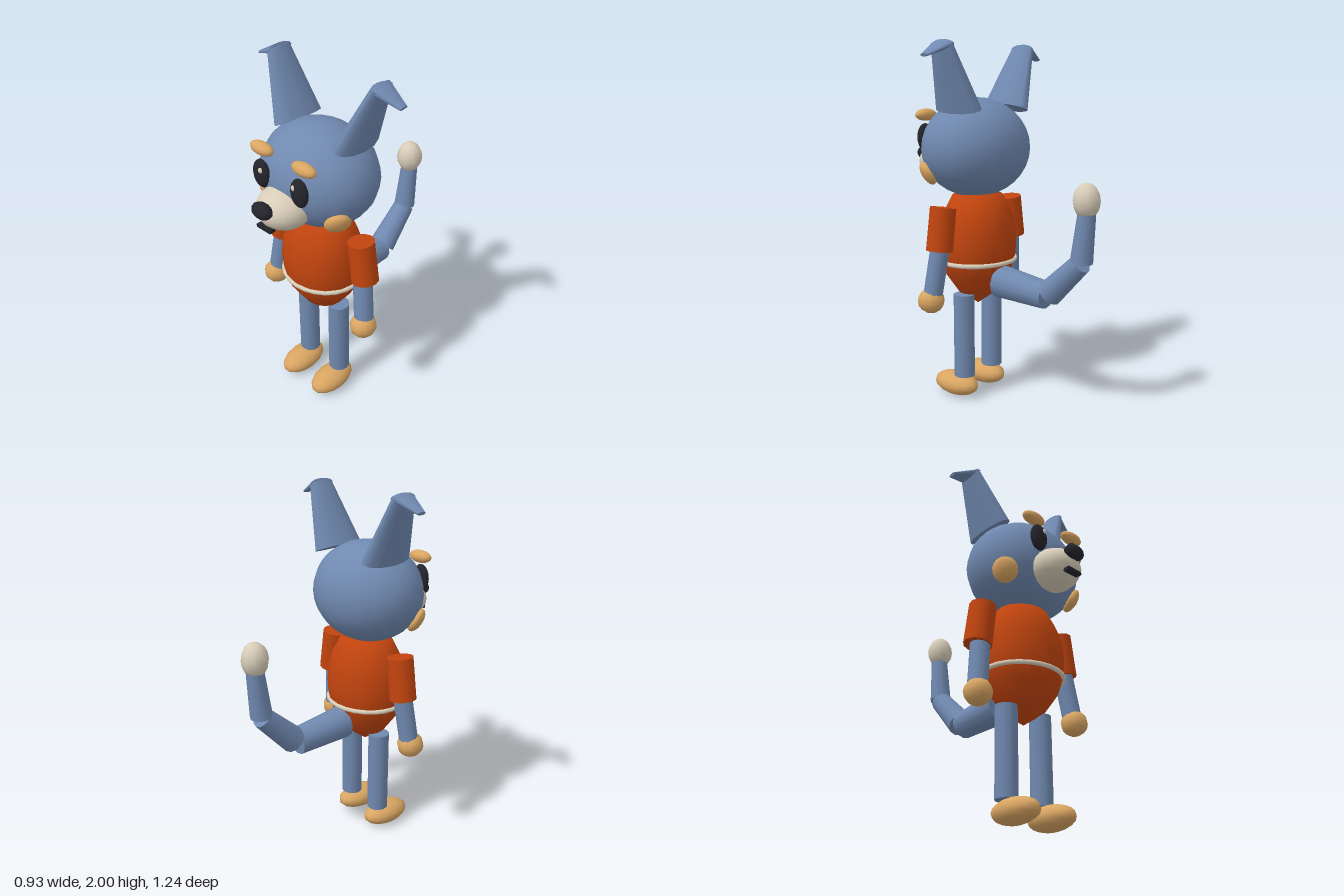
import * as THREE from 'three';

const paint = (name, color) => {
  const m = new THREE.MeshStandardMaterial({ color });
  m.name = name;
  return m;
};

export function createModel() {
  const fur = paint('blue fur', 0x7089b0);
  const shirt = paint('orange shirt', 0xc1440e);
  const tan = paint('tan fur', 0xd9a562);
  const cream = paint('cream', 0xd8cdb8);
  const black = paint('black', 0x24242c);

  const model = new THREE.Group();
  const V = (x, y, z) => new THREE.Vector3(x, y, z);
  const up = V(0, 1, 0);

  const add = (name, geometry, material, parent = model) => {
    const mesh = new THREE.Mesh(geometry, material);
    mesh.name = name;
    parent.add(mesh);
    return mesh;
  };

  // ellipsoid from centre and radii
  const ball = (name, material, c, r, w = 14, h = 10) => {
    const mesh = add(name, new THREE.SphereGeometry(1, w, h), material);
    mesh.position.set(...c);
    mesh.scale.set(...r);
    return mesh;
  };

  // tapered cylinder from a to b, optionally flattened sideways
  const limb = (name, material, a, b, ra, rb, flat = 1, sides = 12) => {
    const p = V(...a), q = V(...b), dir = q.clone().sub(p);
    const geometry = new THREE.CylinderGeometry(rb, ra, dir.length(), sides);
    geometry.scale(flat, 1, 1);
    const mesh = add(name, geometry, material);
    mesh.position.copy(p).add(q).multiplyScalar(0.5);
    mesh.quaternion.setFromUnitVectors(up, dir.normalize());
    return mesh;
  };

  // torso and belt
  const profile = [[0, 0.535], [0.12, 0.613], [0.198, 0.72], [0.227, 0.81], [0.234, 0.9],
    [0.225, 1.0], [0.2, 1.075], [0.15, 1.168], [0, 1.23]].map(p => new THREE.Vector2(...p));
  const torso = add('torso', new THREE.LatheGeometry(profile, 16), shirt);
  torso.scale.z = 0.9;
  torso.position.z = 0.18;
  const belt = add('belt', new THREE.TorusGeometry(0.227, 0.013, 8, 24).rotateX(Math.PI / 2), cream);
  belt.position.set(0, 0.797, 0.18);
  belt.scale.z = 0.9;

  // head and muzzle
  ball('head', fur, [0, 1.43, 0.187], [0.328, 0.276, 0.284], 20, 16);
  ball('muzzle', cream, [0, 1.34, 0.43], [0.143, 0.111, 0.152], 16, 12);
  ball('nose', black, [0, 1.383, 0.58], [0.063, 0.043, 0.041]);
  const mouth = add('mouth', new THREE.BoxGeometry(0.096, 0.018, 0.035), black);
  mouth.position.set(0, 1.276, 0.563);

  for (const s of [1, -1]) {
    const side = s > 0 ? 'left' : 'right';

    // face
    ball(side + 'Eye', black, [s * 0.132, 1.482, 0.455], [0.055, 0.078, 0.03]);
    ball(side + 'EyeGlint', cream, [s * 0.115, 1.513, 0.477], [0.014, 0.016, 0.01], 8, 6);
    ball(side + 'Brow', tan, [s * 0.145, 1.608, 0.433], [0.076, 0.034, 0.037]);
    const cheek = ball(side + 'Cheek', tan, [s * 0.25, 1.296, 0.32], [0.07, 0.07, 0.035], 12, 8);
    cheek.quaternion.setFromUnitVectors(V(0, 0, 1), V(s * 0.75, -0.5, 0.5).normalize());

    // ear with folded tip
    limb(side + 'Ear', fur, [s * 0.198, 1.645, 0.137], [s * 0.336, 1.978, 0.122], 0.155, 0.072, 0.41);
    limb(side + 'EarTip', fur, [s * 0.322, 1.975, 0.122], [s * 0.463, 1.915, 0.12], 0.074, 0.026, 0.34);

    // arm
    limb(side + 'Sleeve', shirt, [s * 0.28, 1.125, 0.181], [s * 0.313, 0.891, 0.181], 0.073, 0.075);
    limb(side + 'Forearm', fur, [s * 0.297, 0.94, 0.184], [s * 0.338, 0.635, 0.213], 0.053, 0.053);
    ball(side + 'Hand', tan, [s * 0.341, 0.615, 0.222], [0.073, 0.07, 0.076], 10, 8);

    // leg
    limb(side + 'Leg', fur, [s * 0.12, 0.13, 0.182], [s * 0.12, 0.61, 0.182], 0.06, 0.06);
    ball(side + 'Foot', tan, [s * 0.12, 0.067, 0.245], [0.087, 0.066, 0.149]);
  }

  // tail
  limb('tailBase', fur, [0, 0.69, 0.012], [0, 0.663, -0.307], 0.093, 0.075);
  limb('tailMiddle', fur, [0, 0.678, -0.325], [0, 0.87, -0.52], 0.074, 0.058);
  limb('tailEnd', fur, [0, 0.876, -0.523], [0, 1.135, -0.55], 0.06, 0.047);
  ball('tailTip', cream, [0, 1.197, -0.547], [0.073, 0.093, 0.073], 10, 8);

  return model;
}
